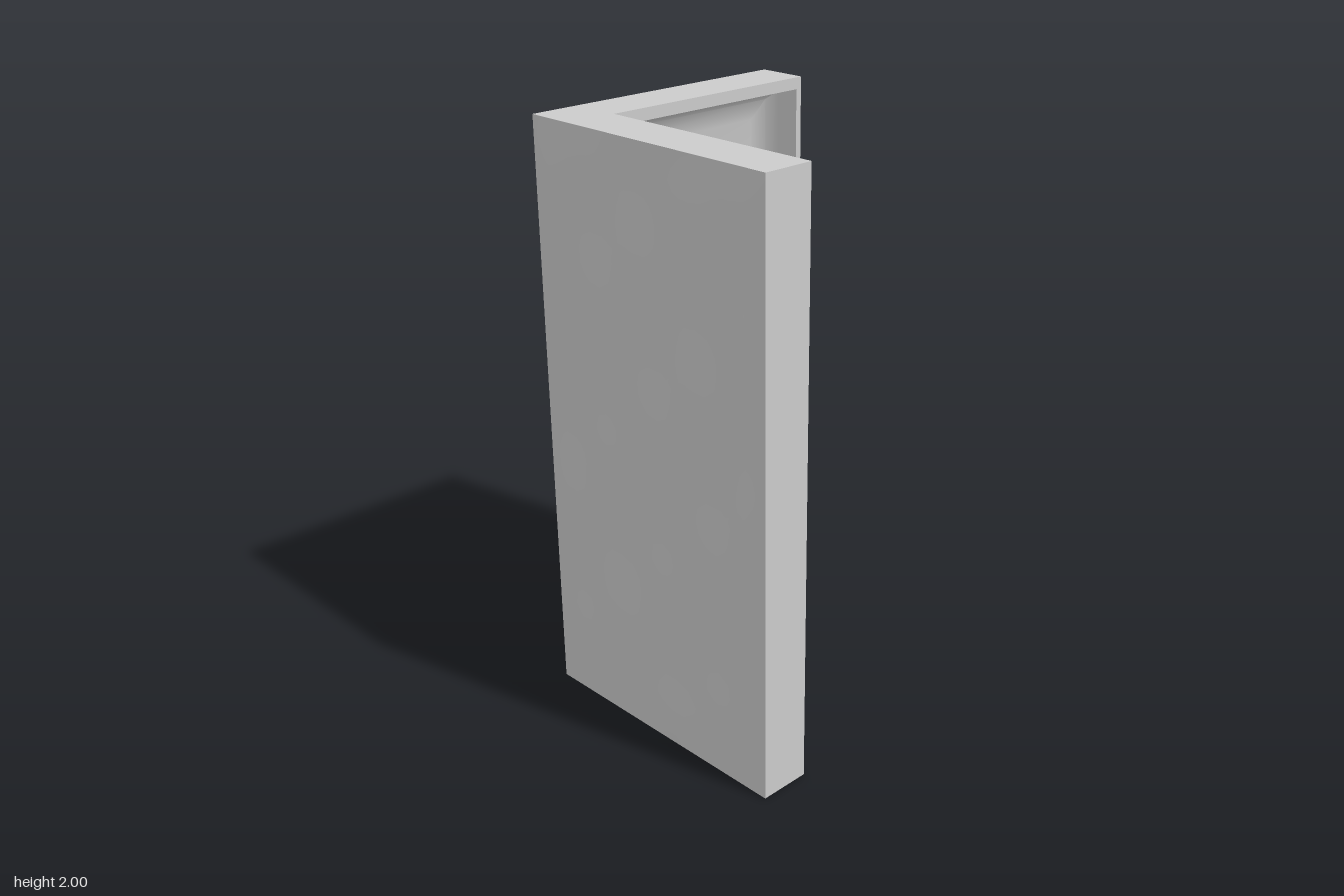
import * as THREE from 'three';
import { toCreasedNormals } from 'three/addons/utils/BufferGeometryUtils.js';

const INNER = 0.32, DEPTH = 0.175, OUTER = INNER + DEPTH, END = 0.502, HEIGHT = 2;
const CORNER_STEPS = 5;

// L-shaped outline standing upright: along the bottom to the far end, back along the top.
function ring({ depth, end, bottom, top, round = 0 }) {
  const c = INNER + depth;
  const path = [[end, c]];
  for (let i = 0; i <= CORNER_STEPS; i++) {
    const t = i / CORNER_STEPS;
    path.push([-c + round * (1 - t) * (1 - t), c - round * t * t]);
  }
  path.push([-c, -end]);
  return [
    ...path.map(([x, z]) => new THREE.Vector3(x, bottom, z)),
    ...path.slice().reverse().map(([x, z]) => new THREE.Vector3(x, top, z)),
  ];
}

// Hollow frame: outer edge, thin rim, then the curved sides of the recess and its floor.
function frameGeometry() {
  const rings = [
    { depth: DEPTH, end: END, bottom: 0, top: HEIGHT },
    { depth: 0, end: END, bottom: 0, top: HEIGHT },
    { depth: 0, end: 0.48, bottom: 0.04, top: 1.96 },
    { depth: 0.08, end: 0.475, bottom: 0.045, top: 1.945, round: 0.04 },
    { depth: 0.13, end: 0.46, bottom: 0.06, top: 1.91, round: 0.1 },
    { depth: 0.16, end: 0.42, bottom: 0.1, top: 1.84, round: 0.16 },
  ].map(ring);
  const pos = [];
  const quad = (a, b, c, d) => [a, b, c, a, c, d].forEach((p) => pos.push(p.x, p.y, p.z));
  const n = rings[0].length;
  for (let k = 0; k < rings.length - 1; k++) {
    for (let i = 0; i < n; i++) {
      const j = (i + 1) % n;
      quad(rings[k][i], rings[k][j], rings[k + 1][j], rings[k + 1][i]);
    }
  }
  const floor = rings[rings.length - 1];
  for (let i = 0; i < n / 2 - 1; i++) {
    quad(floor[i], floor[i + 1], floor[n - 2 - i], floor[n - 1 - i]);
  }
  const g = new THREE.BufferGeometry();
  g.setAttribute('position', new THREE.Float32BufferAttribute(pos, 3));
  return toCreasedNormals(g, 0.75);
}

// Slightly uneven sheet whose edges stay straight to meet the frame.
function panelGeometry(phase) {
  const width = END + OUTER;
  const g = new THREE.PlaneGeometry(width, HEIGHT, 24, 48);
  const p = g.attributes.position;
  for (let i = 0; i < p.count; i++) {
    const x = p.getX(i), y = p.getY(i);
    const edge = Math.min(1, (width / 2 - Math.abs(x)) / 0.08, (HEIGHT / 2 - Math.abs(y)) / 0.12);
    const wave = Math.sin(7 * x + 5 * y + phase) + Math.sin(11 * y - 9 * x + 2 * phase)
      + 0.6 * Math.sin(19 * x + 13 * y);
    p.setZ(i, Math.max(0, edge) * (0.002 + 0.0015 * wave));
  }
  g.computeVertexNormals();
  return g;
}

export function createModel() {
  const group = new THREE.Group();
  const material = new THREE.MeshStandardMaterial({ color: 0xcccccc, side: THREE.DoubleSide });
  const add = (name, geometry) => {
    const mesh = new THREE.Mesh(geometry, material);
    mesh.name = name;
    group.add(mesh);
    return mesh;
  };

  add('cornerFrame', frameGeometry());

  // The two outer faces meet at the corner.
  const offset = (END - OUTER) / 2;
  add('frontPanel', panelGeometry(0.4)).position.set(offset, HEIGHT / 2, OUTER);
  const side = add('sidePanel', panelGeometry(2.1));
  side.rotation.y = -Math.PI / 2;
  side.position.set(-OUTER, HEIGHT / 2, -offset);

  return group;
}
